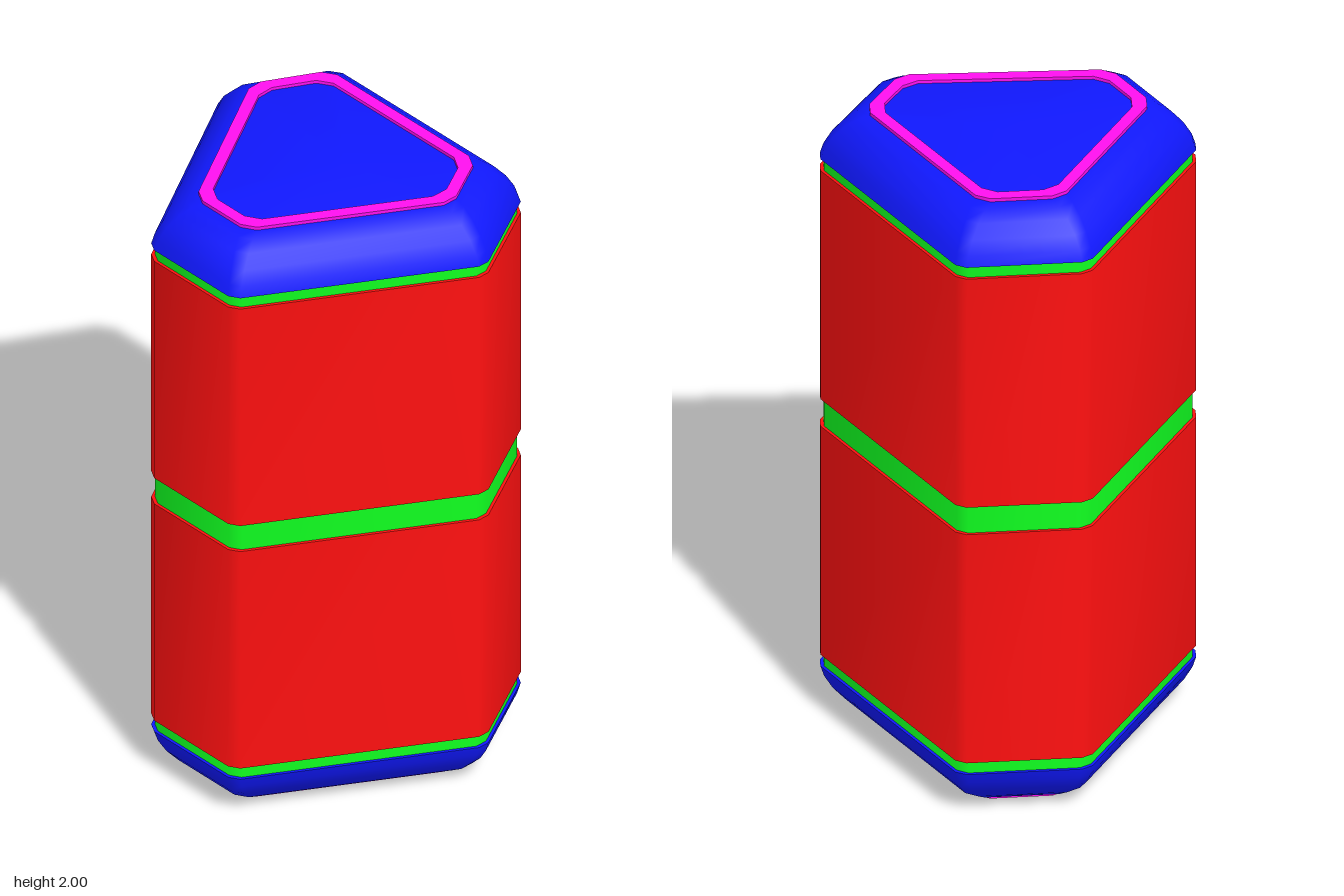
import * as THREE from 'three';
import { toCreasedNormals } from 'three/addons/utils/BufferGeometryUtils.js';

// Sharp corners of the six-sided plan (x, z), clockwise seen from above
const CORNERS = [
  [-0.167, -0.551], [0.484, -0.176], [0.481, 0.177],
  [-0.165, 0.547], [-0.47, 0.37], [-0.484, -0.35],
].map(([x, z]) => new THREE.Vector2(x, z));

// Plan moved inwards by d, with every corner chamfered
function outline(d) {
  const n = CORNERS.length;
  const dirs = CORNERS.map((p, i) => CORNERS[(i + 1) % n].clone().sub(p).normalize());
  const inward = dirs.map((v) => new THREE.Vector2(-v.y, v.x));
  const chamfer = 0.021 + 0.06 * d;
  const points = [];
  CORNERS.forEach((p, i) => {
    const k = (i + n - 1) % n;
    const shift = inward[k].clone().add(inward[i]).multiplyScalar(d / (1 + inward[k].dot(inward[i])));
    const corner = p.clone().add(shift);
    points.push(corner.clone().addScaledVector(dirs[k], -chamfer));
    points.push(corner.clone().addScaledVector(dirs[i], chamfer));
  });
  return points;
}

// Skin over a profile of [inset, y] rows, optionally closed at both ends
function loft(profile, capped = true) {
  const rows = profile.map(([d, y]) => outline(d).map((p) => [p.x, y, p.y]));
  const n = rows[0].length;
  const pos = [];
  const tri = (a, b, c) => pos.push(...a, ...b, ...c);
  for (let r = 0; r < rows.length - 1; r++) {
    const lo = rows[r], hi = rows[r + 1];
    for (let i = 0; i < n; i++) {
      const j = (i + 1) % n;
      tri(lo[j], lo[i], hi[i]);
      tri(lo[j], hi[i], hi[j]);
    }
  }
  if (capped) {
    const first = rows[0], last = rows[rows.length - 1];
    for (let i = 0; i < n; i++) {
      const j = (i + 1) % n;
      tri([0, first[0][1], 0], first[i], first[j]);
      tri([0, last[0][1], 0], last[j], last[i]);
    }
  }
  const geometry = new THREE.BufferGeometry();
  geometry.setAttribute('position', new THREE.Float32BufferAttribute(pos, 3));
  return toCreasedNormals(geometry, 0.7);
}

const mirrorProfile = (profile) => profile.map(([d, y]) => [d, 2 - y]).reverse();

export function createModel() {
  const model = new THREE.Group();
  const paint = (color) => new THREE.MeshStandardMaterial({ color });
  const red = paint(0xff1010), green = paint(0x10ff20);
  const blue = paint(0x1018ff), magenta = paint(0xff10f0);

  const add = (name, geometry, material) => {
    const mesh = new THREE.Mesh(geometry, material);
    mesh.name = name;
    model.add(mesh);
  };

  // Inner core, seen in the gaps between the blocks
  add('core', loft([[0.009, 0.15], [0.009, 1.85]]), green);

  // Two body blocks
  const block = [[0, 1.045], [0, 1.807]];
  add('upperBlock', loft(block), red);
  add('lowerBlock', loft(mirrorProfile(block)), red);

  // Rounded end caps
  const cap = [[0, 1.845], [0.009, 1.878], [0.03, 1.918], [0.06, 1.955], [0.092, 1.979], [0.122, 1.99]];
  add('topCap', loft(cap), blue);
  add('bottomCap', loft(mirrorProfile(cap)), blue);

  // Raised rims on the end faces
  const rim = [[0.12, 1.98], [0.12, 2], [0.157, 2], [0.157, 1.98]];
  add('topRim', loft(rim, false), magenta);
  add('bottomRim', loft(mirrorProfile(rim), false), magenta);

  return model;
}
